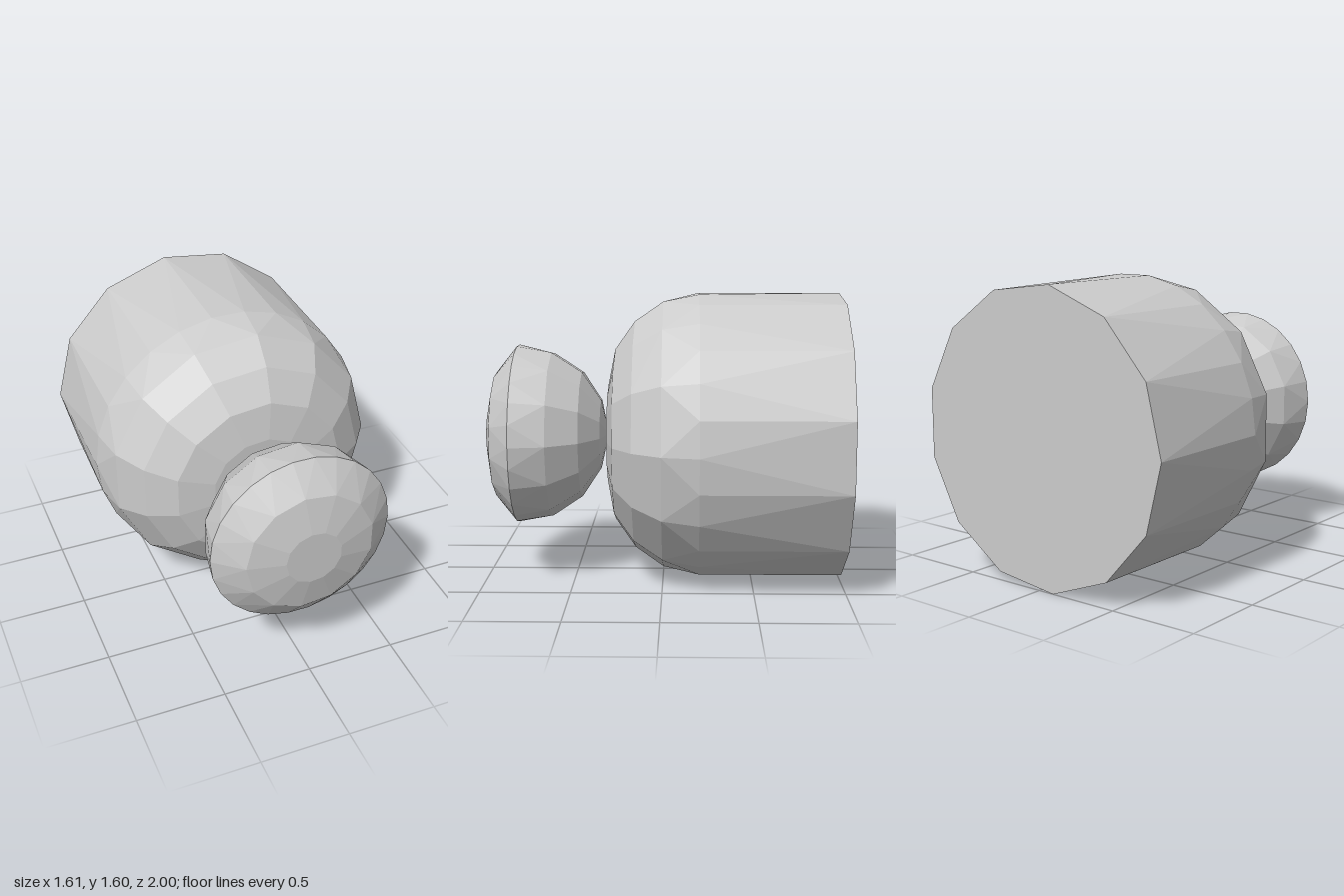
import * as THREE from 'three';

const SIDES = 26;
const CENTER_Y = 0.805;

// Each ring is [z, radius, parity]: parity 0 or 1 keeps every second corner
// (13 sides), 'all' keeps all 26 corners, radius 0 closes the end.
function ringPoint([z, r, parity], k) {
  const corner = parity === 'all' || k % 2 === parity ? k : k - 1;
  const a = (corner / SIDES) * Math.PI * 2;
  return new THREE.Vector3(r * Math.cos(a), CENTER_Y + r * Math.sin(a), z);
}

// Faceted skin over rings that run from front to back
function ringSolid(name, rings) {
  const positions = [];
  const addTriangle = (...pts) => {
    const tri = new THREE.Triangle(...pts);
    if (tri.getArea() > 1e-6) pts.forEach((p) => positions.push(p.x, p.y, p.z));
  };
  for (let i = 0; i < rings.length - 1; i++) {
    for (let k = 0; k < SIDES; k++) {
      const a0 = ringPoint(rings[i], k);
      const a1 = ringPoint(rings[i], k + 1);
      const b0 = ringPoint(rings[i + 1], k);
      const b1 = ringPoint(rings[i + 1], k + 1);
      if (rings[i + 1][2] === 'all') {
        addTriangle(a0, b0, a1);
        addTriangle(a1, b0, b1);
      } else {
        addTriangle(a0, b0, b1);
        addTriangle(a0, b1, a1);
      }
    }
  }
  const geometry = new THREE.BufferGeometry();
  geometry.setAttribute('position', new THREE.Float32BufferAttribute(positions, 3));
  geometry.computeVertexNormals();
  const material = new THREE.MeshStandardMaterial({ color: 0xcccccc, flatShading: true });
  const mesh = new THREE.Mesh(geometry, material);
  mesh.name = name;
  return mesh;
}

export function createModel() {
  const model = new THREE.Group();
  model.name = 'knobbedCylinder';

  // Rounded knob at the front, flatter on its outer face
  model.add(ringSolid('knob', [
    [1.0, 0, 1],
    [1.0, 0.157, 1],
    [0.955, 0.36, 1],
    [0.83, 0.51, 'all'],
    [0.635, 0.475, 0],
    [0.465, 0.362, 0],
    [0.357, 0.197, 0],
    [0.315, 0, 0],
  ]));

  // Main body with a domed front and a flat back
  model.add(ringSolid('body', [
    [0.313, 0, 0],
    [0.313, 0.29, 0],
    [0.272, 0.495, 0],
    [0.16, 0.655, 0],
    [0, 0.767, 0],
    [-0.2, 0.807, 'all'],
    [-1, 0.807, 1],
    [-1, 0, 1],
  ]));
  return model;
}
